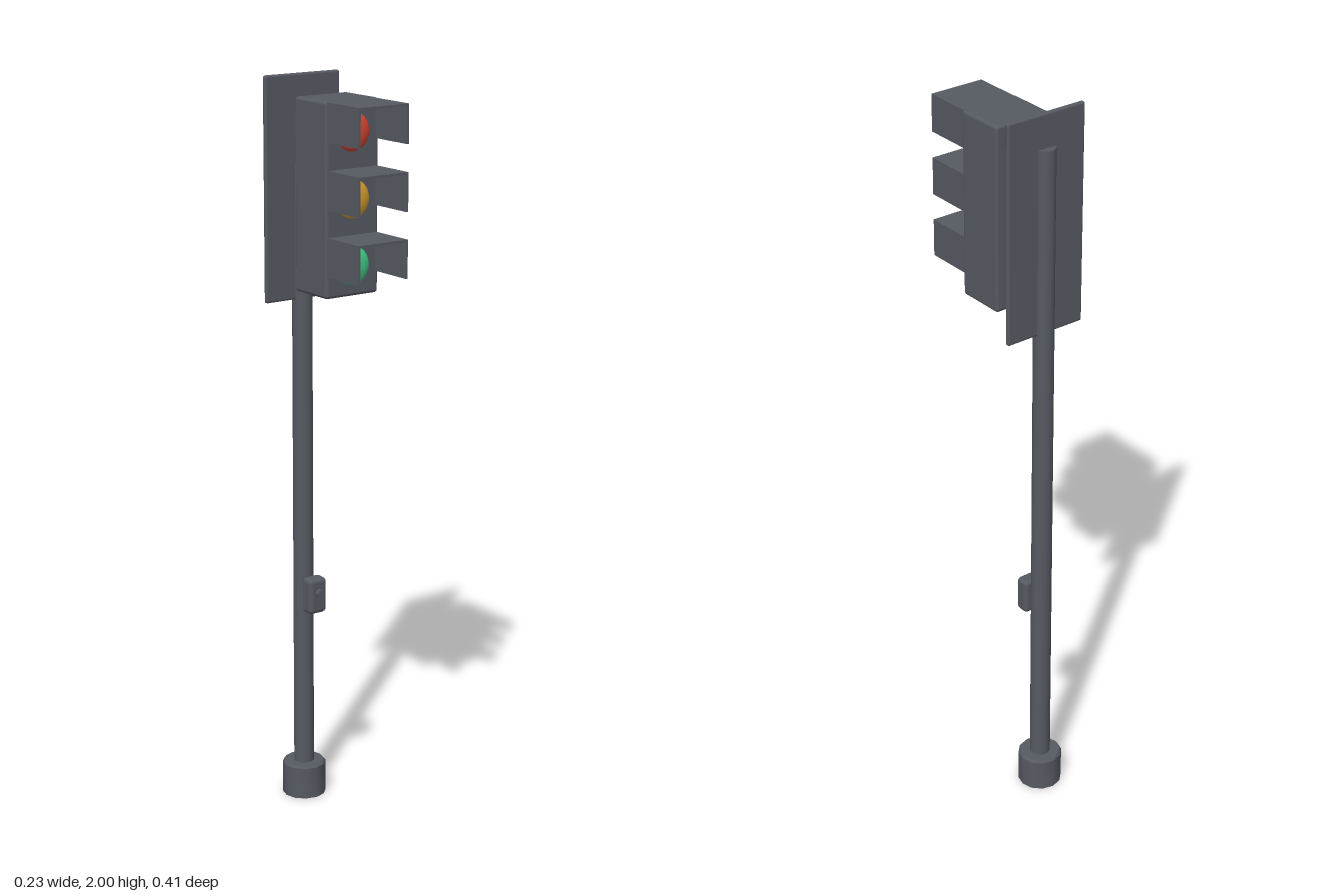
import * as THREE from 'three';
import { RoundedBoxGeometry } from 'three/addons/geometries/RoundedBoxGeometry.js';
import { toCreasedNormals } from 'three/addons/utils/BufferGeometryUtils.js';

const material = (name, color) => {
  const m = new THREE.MeshStandardMaterial({ color });
  m.name = name;
  return m;
};

export function createModel() {
  const model = new THREE.Group();
  model.name = 'trafficLight';
  const grey = material('dark grey metal', 0x565a62);
  const lampColours = [
    material('red lens', 0xd94a36),
    material('amber lens', 0xd9a032),
    material('green lens', 0x46d08c),
  ];
  const poleZ = -0.147;

  const add = (name, geometry, x, y, z, mat = grey, parent = model) => {
    const mesh = new THREE.Mesh(geometry, mat);
    mesh.name = name;
    mesh.position.set(x, y, z);
    parent.add(mesh);
    return mesh;
  };
  const rounded = (w, h, d, r) => new RoundedBoxGeometry(w, h, d, 2, r);
  // Cylinder lying along z
  const rod = (radius, length, sides = 16) =>
    toCreasedNormals(new THREE.CylinderGeometry(radius, radius, length, sides).rotateX(Math.PI / 2), 0.7);

  // Foot, with a small bevel round its top
  const footProfile = [[0, 0], [0.06, 0], [0.06, 0.089], [0.055, 0.095], [0, 0.095]]
    .map(([r, y]) => new THREE.Vector2(r, y));
  add('foot', toCreasedNormals(new THREE.LatheGeometry(footProfile, 12), 0.6), 0, 0, poleZ);

  // Pole and backing board
  add('pole', toCreasedNormals(new THREE.CylinderGeometry(0.027, 0.028, 1.85, 16), 0.7), 0, 0.985, poleZ);
  add('backBoard', rounded(0.234, 0.59, 0.014, 0.006), 0, 1.705, poleZ);

  // Bracket joining pole and housing
  add('bracketCollar', rounded(0.06, 0.06, 0.04, 0.008), 0, 1.706, -0.103);
  add('bracketArm', rounded(0.05, 0.05, 0.08, 0.006), 0, 1.706, -0.085);

  // Signal housing
  add('housing', rounded(0.164, 0.5, 0.139, 0.009), 0, 1.704, 0.0075);

  // Three lamps, each with a hood open below and in front
  const hoodShape = new THREE.Shape([
    [-0.077, -0.05], [-0.071, -0.05], [-0.071, 0.044], [0.071, 0.044],
    [0.071, -0.05], [0.077, -0.05], [0.077, 0.05], [-0.077, 0.05],
  ].map(([x, y]) => new THREE.Vector2(x, y)));
  const hoodGeometry = new THREE.ExtrudeGeometry(hoodShape, { depth: 0.137, bevelEnabled: false });
  const lensGeometry = new THREE.SphereGeometry(0.05, 20, 12).scale(1, 1, 0.38);
  ['red', 'amber', 'green'].forEach((name, i) => {
    const y = 1.874 - i * 0.17;
    const lamp = new THREE.Group();
    lamp.name = name + 'Lamp';
    lamp.position.y = y;
    model.add(lamp);
    add('lens', lensGeometry, 0, 0, 0.077, lampColours[i], lamp);
    add('hood', hoodGeometry, 0, 0.028, 0.07, grey, lamp);
  });

  // Pedestrian push button
  add('buttonBox', rounded(0.056, 0.1, 0.042, 0.012), 0, 0.597, -0.095);
  add('button', rod(0.011, 0.02, 12), 0, 0.607, -0.073);

  return model;
}
